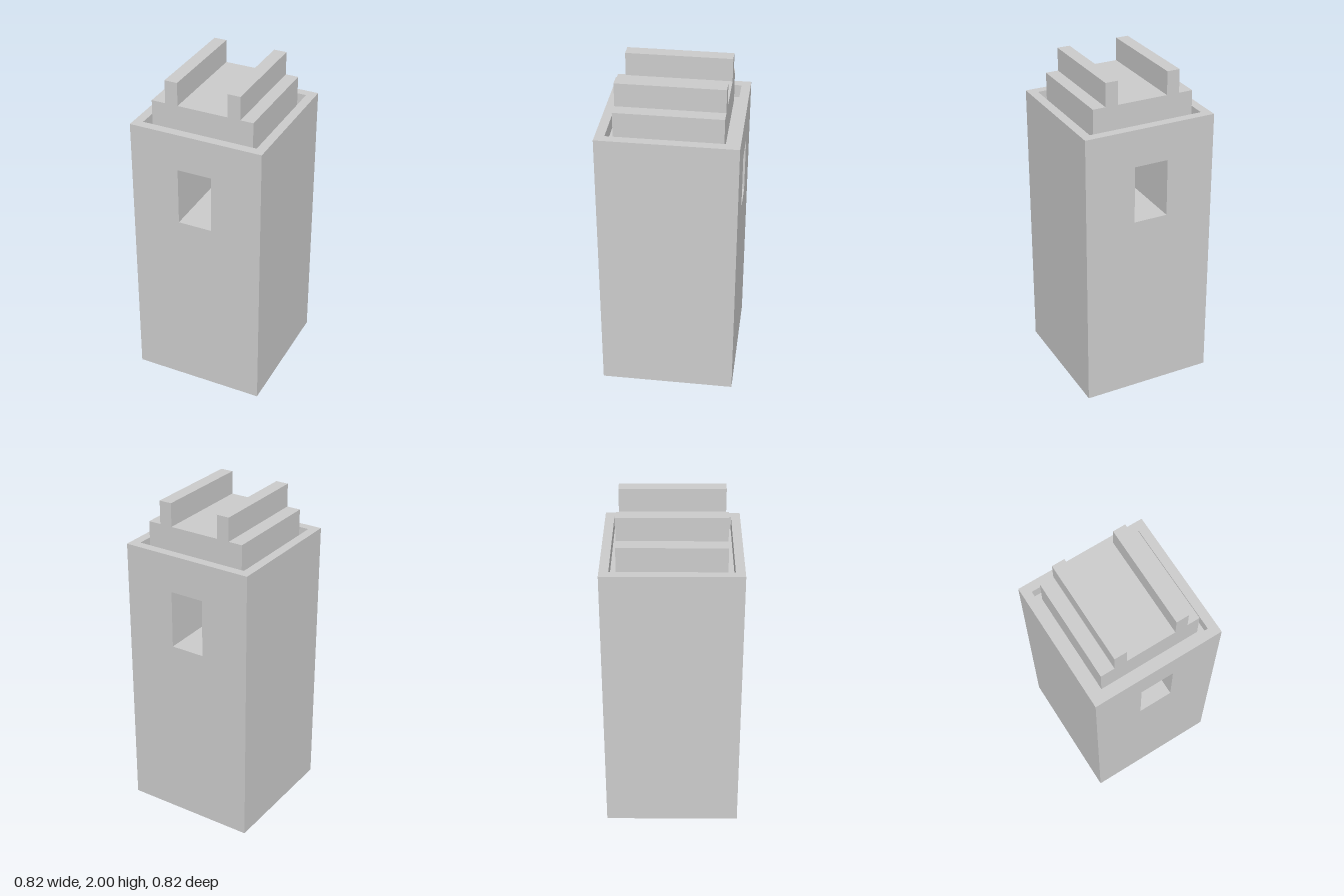
import * as THREE from 'three';

const HALF = 0.408;      // outer half width of the tower
const INNER = 0.353;     // half width inside the rim
const CAP = 0.314;       // half width of the cap
const TOP = 1.73;        // top of the rim
const FLOOR = 1.65;      // bottom of the recess around the cap

const material = new THREE.MeshStandardMaterial({ color: 0xcccccc, flatShading: true });

const toPoints = (pairs) => pairs.map(([x, y]) => new THREE.Vector2(x, y));
const rect = (x0, y0, x1, y1) => toPoints([[x0, y0], [x1, y0], [x1, y1], [x0, y1]]);

// Extrudes an outline, centred on its depth, with optional hole
function extrude(name, outline, depth, hole) {
  const shape = new THREE.Shape(outline);
  if (hole) shape.holes.push(new THREE.Path(hole));
  const geometry = new THREE.ExtrudeGeometry(shape, { depth, bevelEnabled: false });
  geometry.translate(0, 0, -depth / 2);
  const mesh = new THREE.Mesh(geometry, material);
  mesh.name = name;
  return mesh;
}

export function createModel() {
  const model = new THREE.Group();
  model.name = 'tower';

  // Solid shaft with a window passing from front to back
  model.add(extrude('shaft', rect(-HALF, 0, HALF, FLOOR), HALF * 2,
    rect(-0.11, 1.15, 0.1, 1.503)));

  // Thin raised rim around the recessed top
  const rim = extrude('rim', rect(-HALF, -HALF, HALF, HALF), TOP - FLOOR,
    rect(-INNER, -INNER, INNER, INNER));
  rim.rotation.x = -Math.PI / 2;
  rim.position.y = (TOP + FLOOR) / 2;
  model.add(rim);

  // Cap with two upright rails, one profile running front to back
  const deck = 1.858;
  model.add(extrude('railedCap', toPoints([
    [-CAP, FLOOR], [CAP, FLOOR], [CAP, deck],
    [0.236, deck], [0.236, 2], [0.158, 2], [0.158, deck],
    [-0.15, deck], [-0.15, 2], [-0.228, 2], [-0.228, deck],
    [-CAP, deck],
  ]), CAP * 2));

  return model;
}
